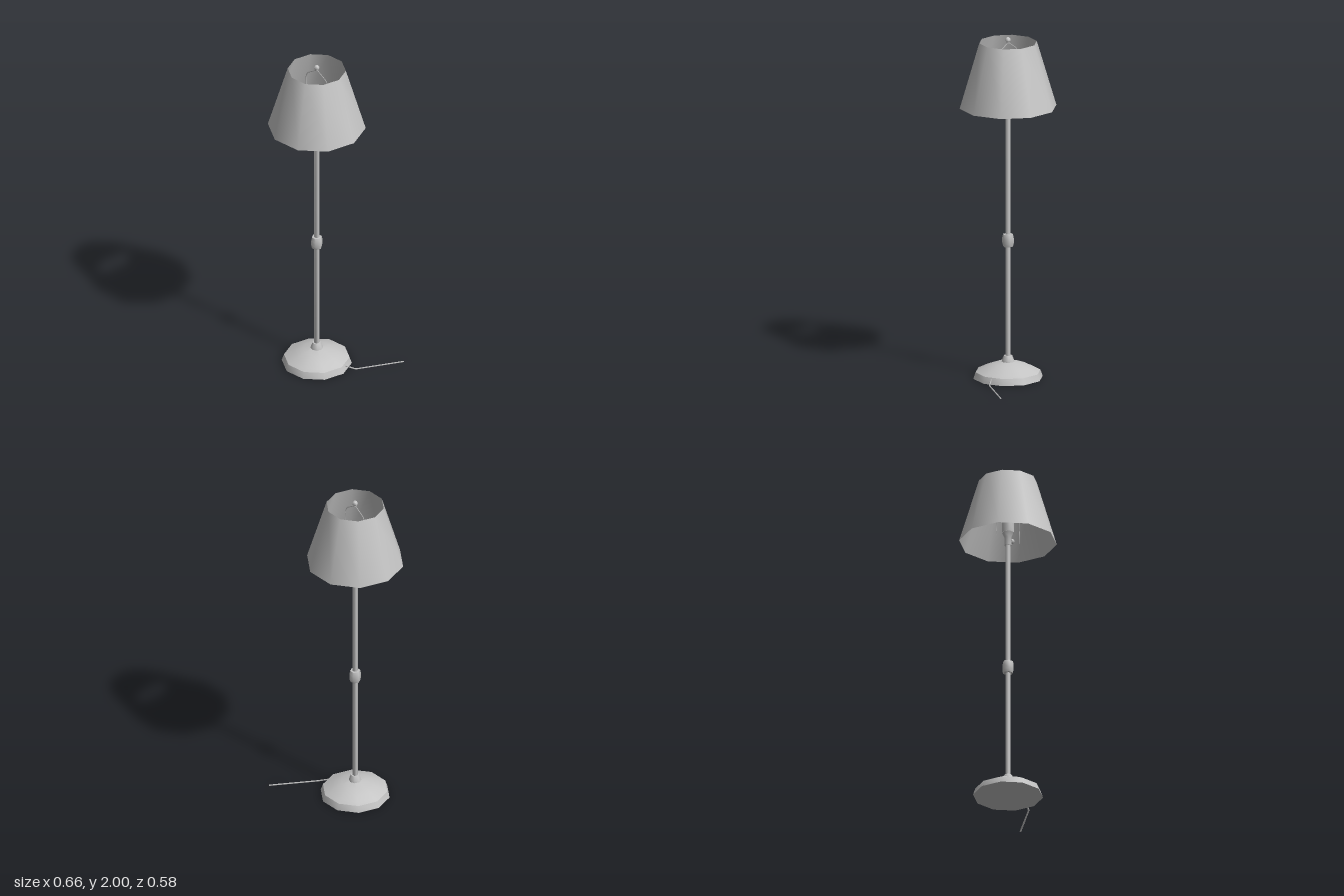
import * as THREE from 'three';
import { toCreasedNormals } from 'three/addons/utils/BufferGeometryUtils.js';

export function createModel() {
  const lamp = new THREE.Group();
  lamp.name = 'floorLamp';
  const grey = new THREE.MeshStandardMaterial({ color: 0xc4c4c4, side: THREE.DoubleSide });
  grey.name = 'plainGrey';

  // Everything but the cord turns about this upright axis
  const axis = new THREE.Group();
  axis.name = 'lampBody';
  axis.position.set(-0.055, 0, 0.025);
  lamp.add(axis);

  const add = (name, geometry, parent = axis) => {
    const mesh = new THREE.Mesh(geometry, grey);
    mesh.name = name;
    parent.add(mesh);
    return mesh;
  };

  // Turned part from [radius, height] pairs, with corners on the x axis
  const turned = (name, sides, profile, crease) => {
    const points = profile.map(([r, y]) => new THREE.Vector2(r, y));
    const geometry = new THREE.LatheGeometry(points, sides, Math.PI / 2);
    return add(name, toCreasedNormals(geometry, crease));
  };

  // Angular wire through a few points
  const wire = (name, points, radius, sides, parent) => {
    const path = new THREE.CurvePath();
    const v = points.map((p) => new THREE.Vector3(...p));
    for (let i = 1; i < v.length; i++) path.add(new THREE.LineCurve3(v[i - 1], v[i]));
    return add(name, new THREE.TubeGeometry(path, 40, radius, sides), parent);
  };

  // Foot and pole
  turned('base', 10, [[0, 0], [0.2, 0], [0.187, 0.038], [0.165, 0.048],
    [0.13, 0.066], [0.08, 0.085], [0.03, 0.095]], 0.7);
  turned('baseKnob', 8, [[0.037, 0.09], [0.033, 0.108], [0.024, 0.13], [0, 0.13]], 0.9);
  turned('pole', 6, [[0.016, 0.12], [0.016, 1.6]], 1.1);
  turned('poleCollar', 6, [[0, 0.77], [0.029, 0.77], [0.034, 0.79],
    [0.034, 0.82], [0.029, 0.842], [0, 0.842]], 1.1);

  // Lamp holder with its switch
  turned('socketNeck', 6, [[0, 1.57], [0.021, 1.57], [0.021, 1.62], [0.034, 1.65]], 1.1);
  turned('socket', 6, [[0.035, 1.65], [0.035, 1.74], [0, 1.74]], 1.1);
  const knob = add('switchKnob', new THREE.CylinderGeometry(0.014, 0.014, 0.02, 6));
  knob.rotation.z = Math.PI / 2;
  knob.position.set(0.028, 1.605, 0);

  // Open shade
  turned('shade', 10, [[0.279, 1.59], [0.166, 1.97]], 1.1);

  // Wire frame inside the shade, and the finial on top
  wire('harp', [[-0.09, 1.61, 0], [-0.08, 1.9, 0], [-0.065, 1.925, 0], [0, 1.968, 0],
    [0.065, 1.925, 0], [0.08, 1.9, 0], [0.09, 1.61, 0]], 0.003, 4);
  turned('finial', 6, [[0, 1.963], [0.01, 1.965], [0.01, 1.972], [0.016, 1.977],
    [0.015, 1.988], [0.009, 1.997], [0, 2]], 1.1);

  // Power cord lying on the floor
  wire('cord', [[0.12, 0.027, -0.012], [0.172, 0.007, -0.05], [0.327, 0.006, -0.29]],
    0.0045, 4, lamp);

  return lamp;
}
